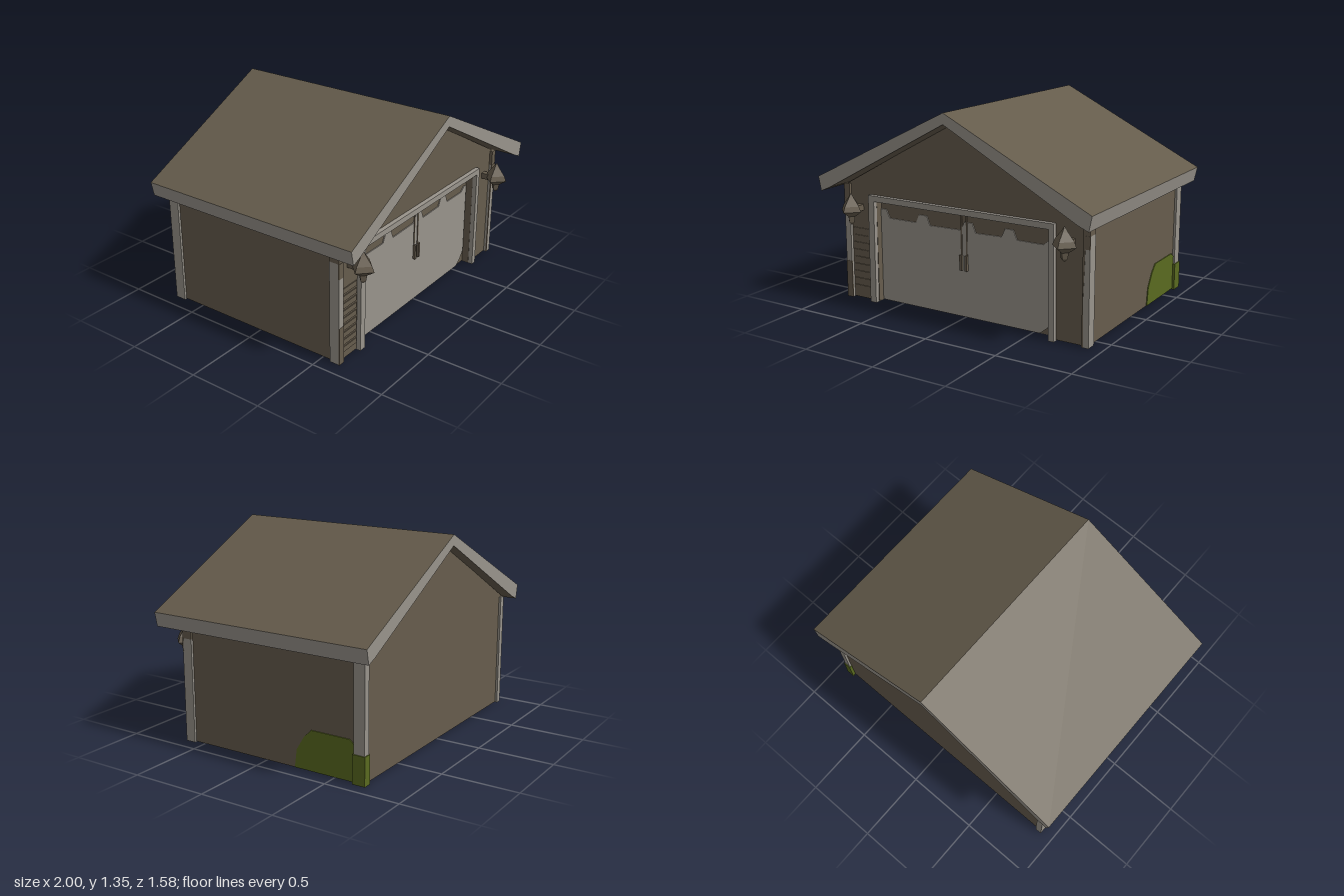
import * as THREE from 'three';

const mat = (name, color) => {
  const m = new THREE.MeshStandardMaterial({ color });
  m.name = name;
  return m;
};

export function createModel() {
  const root = new THREE.Group();
  root.name = 'garage';
  const wall = mat('brown wall', 0x665c4d);
  const roofMat = mat('brown roof', 0x645b4b);
  const trim = mat('grey trim', 0x98938b);
  const floorMat = mat('grey floor', 0x8c8c8c);
  const moss = mat('moss green', 0x5a6a20);

  const add = (name, geo, material) => {
    const m = new THREE.Mesh(geo, material);
    m.name = name;
    root.add(m);
    return m;
  };
  // Box given by its lower and upper corners
  const box = (name, x0, x1, y0, y1, z0, z1, material) => {
    const m = add(name, new THREE.BoxGeometry(x1 - x0, y1 - y0, z1 - z0), material);
    m.position.set((x0 + x1) / 2, (y0 + y1) / 2, (z0 + z1) / 2);
    return m;
  };
  // Outline in x, y pushed from z0 to z1
  const slab = (points, z0, z1) => {
    const shape = new THREE.Shape(points.map(([x, y]) => new THREE.Vector2(x, y)));
    return new THREE.ExtrudeGeometry(shape, { depth: z1 - z0, bevelEnabled: false }).translate(0, 0, z0);
  };

  // House body, and a front wall with the door opening cut out
  const gable = [[0.9, 0.79], [0, 1.285], [-0.9, 0.79], [-0.9, 0.01]];
  add('body', slab([[0.9, 0.01], ...gable], -0.705, 0.56), wall);
  add('frontWall', slab([[-0.66, 0.01], [-0.66, 0.7], [0.645, 0.7], [0.645, 0.01], [0.9, 0.01], ...gable],
    0.56, 0.615), wall);
  box('floor', -0.8, 0.8, 0.004, 0.011, -0.68, 0.56, floorMat);

  // Roof: tops and soffits brown, ends and eaves grey
  const roofGeo = slab([[1, 0.855], [0, 1.35], [-1, 0.855], [-0.98, 0.76], [-0.91, 0.79], [0, 1.28],
    [0.91, 0.79], [0.98, 0.76]], -0.785, 0.785);
  const normal = roofGeo.attributes.normal;
  roofGeo.clearGroups();
  for (let i = 0; i < normal.count; i += 3) {
    const y = normal.getY(i);
    roofGeo.addGroup(i, 3, y > 0.5 ? 0 : y < -0.3 ? 1 : 2);
  }
  add('roof', roofGeo, [roofMat, wall, trim]);

  // Side friezes under the eaves and corner posts
  for (const s of [-1, 1]) {
    const side = (name, y0, y1, z0, z1, out, material) =>
      box(name, s > 0 ? 0.87 : -out, s > 0 ? out : -0.87, y0, y1, z0, z1, material);
    side('eaveFrieze', 0.745, 0.79, -0.6, 0.52, 0.915, wall);
    side('frontPost', 0.006, 0.69, 0.565, 0.635, 0.915, trim);
    side('frontPostTop', 0.69, 0.79, 0.565, 0.635, 0.915, wall);
    side('backPost', 0.006, 0.78, -0.72, -0.645, 0.915, trim);
  }
  // Weathered brown patches on the posts' fronts
  box('leftPostPatch', 0.869, 0.916, 0.61, 0.69, 0.63, 0.637, wall);
  add('leftPostInnerPatch', slab([[0.869, 0.01], [0.88, 0.01], [0.875, 0.3], [0.885, 0.62], [0.869, 0.62]],
    0.63, 0.637), wall);
  box('rightPostTopPatch', -0.916, -0.869, 0.59, 0.69, 0.63, 0.637, wall);
  box('rightPostBottomPatch', -0.916, -0.869, 0.006, 0.26, 0.63, 0.637, wall);

  // Double door: brown panel with a grey, scalloped face
  box('doorPanel', -0.66, 0.645, 0.01, 0.7, 0.555, 0.565, wall);
  const scallops = [[-0.66, 0.635], [-0.615, 0.635], [-0.59, 0.58]];
  for (const c of [-0.32, 0.03, 0.33]) {
    scallops.push([c - 0.055, 0.58], [c - 0.03, 0.635], [c + 0.03, 0.635], [c + 0.055, 0.575]);
  }
  add('doorFace', slab([...scallops, [0.57, 0.575], [0.61, 0.61], [0.635, 0.6], [0.635, 0.1], [0.6, 0.05],
    [0.55, 0.01], [-0.66, 0.01]], 0.565, 0.572), trim);
  for (const x of [-0.02, 0.02]) {
    box('doorSeam', x - 0.005, x + 0.005, 0.38, 0.69, 0.57, 0.576, wall);
    box('doorHandle', x - 0.008, x + 0.008, 0.32, 0.42, 0.57, 0.59, wall);
  }

  // Door frame
  add('doorFrame', slab([[-0.712, 0.004], [-0.705, 0.735], [0.68, 0.735], [0.688, 0.004], [0.648, 0.004],
    [0.645, 0.697], [-0.66, 0.697], [-0.665, 0.004]], 0.56, 0.645), trim);

  // Siding strips beside the door
  for (let i = 0; i < 9; i++) {
    box('sidingStrip', -0.86, -0.72, 0.06 + i * 0.05, 0.095 + i * 0.05, 0.61, 0.621, wall);
  }

  // Wall lanterns
  const profile = [[0, 0.54], [0.022, 0.56], [0.03, 0.6], [0.08, 0.635], [0.065, 0.67], [0.025, 0.72], [0, 0.755]]
    .map(([x, y]) => new THREE.Vector2(x, y));
  for (const s of [-1, 1]) {
    const geo = new THREE.LatheGeometry(profile, 4).toNonIndexed();
    geo.computeVertexNormals();
    add('lantern', geo, wall).position.set(s * 0.79, 0, 0.715);
    box('lanternBracket', s * 0.79 - 0.02, s * 0.79 + 0.02, 0.62, 0.66, 0.61, 0.68, wall);
  }

  // Moss patch on the left wall, wrapping the back post
  const patch = slab([[0.22, 0.012], [0.235, 0.13], [0.29, 0.22], [0.34, 0.27], [0.61, 0.27], [0.65, 0.24],
    [0.65, 0.012]], 0, 0.008);
  patch.rotateY(Math.PI / 2).translate(0.898, 0, 0);
  add('mossPatch', patch, moss);
  box('mossOnPost', 0.865, 0.922, 0.006, 0.19, -0.726, -0.64, moss);

  return root;
}
